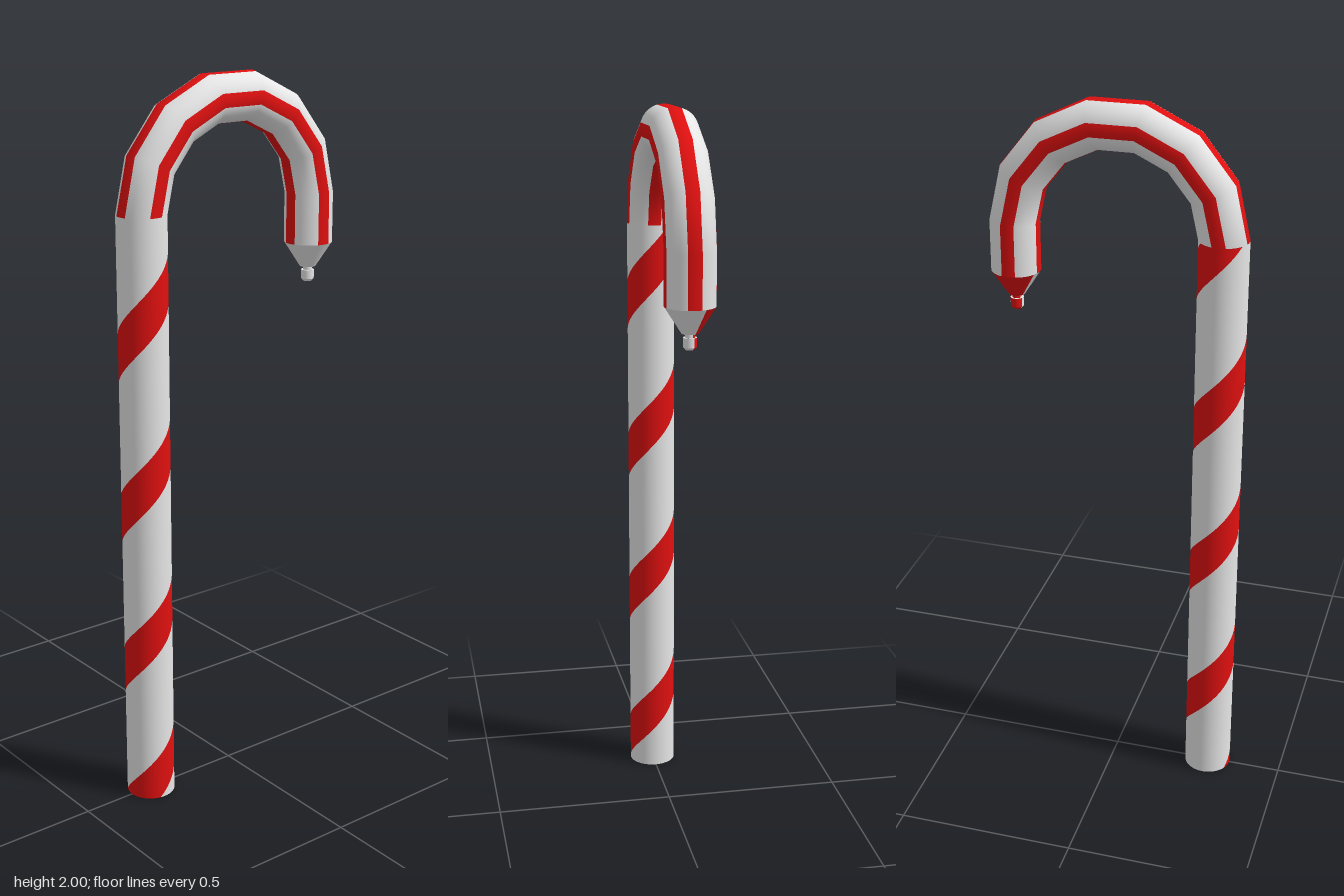
import * as THREE from 'three';

const R = 0.067;        // cane radius
const BEND = 0.283;     // radius of the hook's centre line
const SHAFT_TOP = 1.659;
const TIP_Y = 1.52;     // where the hook's short leg ends
const TAU = Math.PI * 2;

// Grid surface: fn(i, j) returns [position, normal]; i runs around, j runs along.
function sheet(cols, rows, fn) {
  const pos = [], nor = [], idx = [];
  for (let j = 0; j <= rows; j++) {
    for (let i = 0; i <= cols; i++) {
      const [p, n] = fn(i, j);
      pos.push(p.x, p.y, p.z);
      nor.push(n.x, n.y, n.z);
    }
  }
  const w = cols + 1;
  for (let j = 0; j < rows; j++) {
    for (let i = 0; i < cols; i++) {
      const a = j * w + i;
      idx.push(a, a + 1, a + w + 1, a, a + w + 1, a + w);
    }
  }
  const g = new THREE.BufferGeometry();
  g.setAttribute('position', new THREE.Float32BufferAttribute(pos, 3));
  g.setAttribute('normal', new THREE.Float32BufferAttribute(nor, 3));
  g.setIndex(idx);
  return g;
}

// One full turn of a helical band between two heights, clipped to the shaft.
function helixBand(low, high, pitch) {
  const n = 64;
  return sheet(n, 1, (i, j) => {
    const a = (i / n) * TAU;
    const y = THREE.MathUtils.clamp((j ? high : low) + (pitch * i) / n, 0, SHAFT_TOP);
    const normal = new THREE.Vector3(Math.sin(a), 0, Math.cos(a));
    return [new THREE.Vector3(normal.x * R, y, BEND + normal.z * R), normal];
  });
}

// Lengthwise sector of the hook: seven straight bends and a short leg.
function hookSector(from, to, cols) {
  const bends = 7;
  return sheet(cols, bends + 1, (i, j) => {
    const t = (Math.min(j, bends) / bends) * Math.PI;
    const phi = THREE.MathUtils.lerp(from, to, i / cols);
    const out = new THREE.Vector3(0, Math.sin(t), Math.cos(t));
    const normal = out.clone().multiplyScalar(Math.cos(phi));
    normal.x = Math.sin(phi);
    const p = out.multiplyScalar(BEND).addScaledVector(normal, R);
    p.y += j > bends ? TIP_Y : SHAFT_TOP;
    return [p, normal];
  });
}

export function createModel() {
  const white = new THREE.MeshStandardMaterial({ color: 0xe6e6e6 });
  white.name = 'white';
  const red = new THREE.MeshStandardMaterial({ color: 0xe01010 });
  red.name = 'red';

  const cane = new THREE.Group();
  cane.name = 'cane';
  const add = (parent, name, geometry, material) => {
    const mesh = new THREE.Mesh(geometry, material);
    mesh.name = name;
    parent.add(mesh);
    return mesh;
  };
  const addGroup = (name) => {
    const g = new THREE.Group();
    g.name = name;
    cane.add(g);
    return g;
  };

  // Shaft: alternating red and white helical bands
  const shaft = addGroup('shaft');
  const pitch = 0.45, width = 0.135, start = 0.352;
  for (let k = -2; k < 4; k++) {
    const low = start + k * pitch;
    add(shaft, 'shaftStripe', helixBand(low, low + width, pitch), red);
    add(shaft, 'shaftGap', helixBand(low + width, low + pitch, pitch), white);
  }
  const base = add(shaft, 'shaftBase', new THREE.CircleGeometry(R, 64), white);
  base.rotation.x = Math.PI / 2;
  base.position.z = BEND;

  // Hook: four lengthwise red stripes with white between
  const hook = addGroup('hook');
  const half = 0.28;
  for (let k = 0; k < 4; k++) {
    const mid = (k * Math.PI) / 2;
    add(hook, 'hookStripe', hookSector(mid - half, mid + half, 6), red);
    add(hook, 'hookGap', hookSector(mid + half, mid + Math.PI / 2 - half, 10), white);
  }

  // Tip: cone, then a small nub, both red on the -x side
  const tip = addGroup('tip');
  tip.position.set(0, TIP_Y, -BEND);
  const redStart = Math.PI * 1.5 - 1.1, redLength = 2.2;
  const sections = [
    ['tipCone', R, 0.022, 0, -0.07],
    ['tipNeck', 0.013, 0.013, -0.07, -0.08],
    ['tipNub', 0.018, 0.018, -0.08, -0.105],
    ['tipNubEnd', 0.018, 0.012, -0.105, -0.112],
  ];
  for (const [name, top, bottom, y0, y1] of sections) {
    for (const [material, from, length] of [
      [red, redStart, redLength],
      [white, redStart + redLength, TAU - redLength],
    ]) {
      const g = new THREE.CylinderGeometry(top, bottom, y0 - y1, 24, 1, true, from, length);
      add(tip, name, g.translate(0, (y0 + y1) / 2, 0), material);
    }
  }
  // Flat faces closing the tip
  for (const [r, y, up] of [[0.022, -0.07, 1], [0.018, -0.08, -1], [0.012, -0.112, 1]]) {
    const cap = add(tip, 'tipCap', new THREE.CircleGeometry(r, 24), white);
    cap.rotation.x = (up * Math.PI) / 2;
    cap.position.y = y;
  }
  return cane;
}
